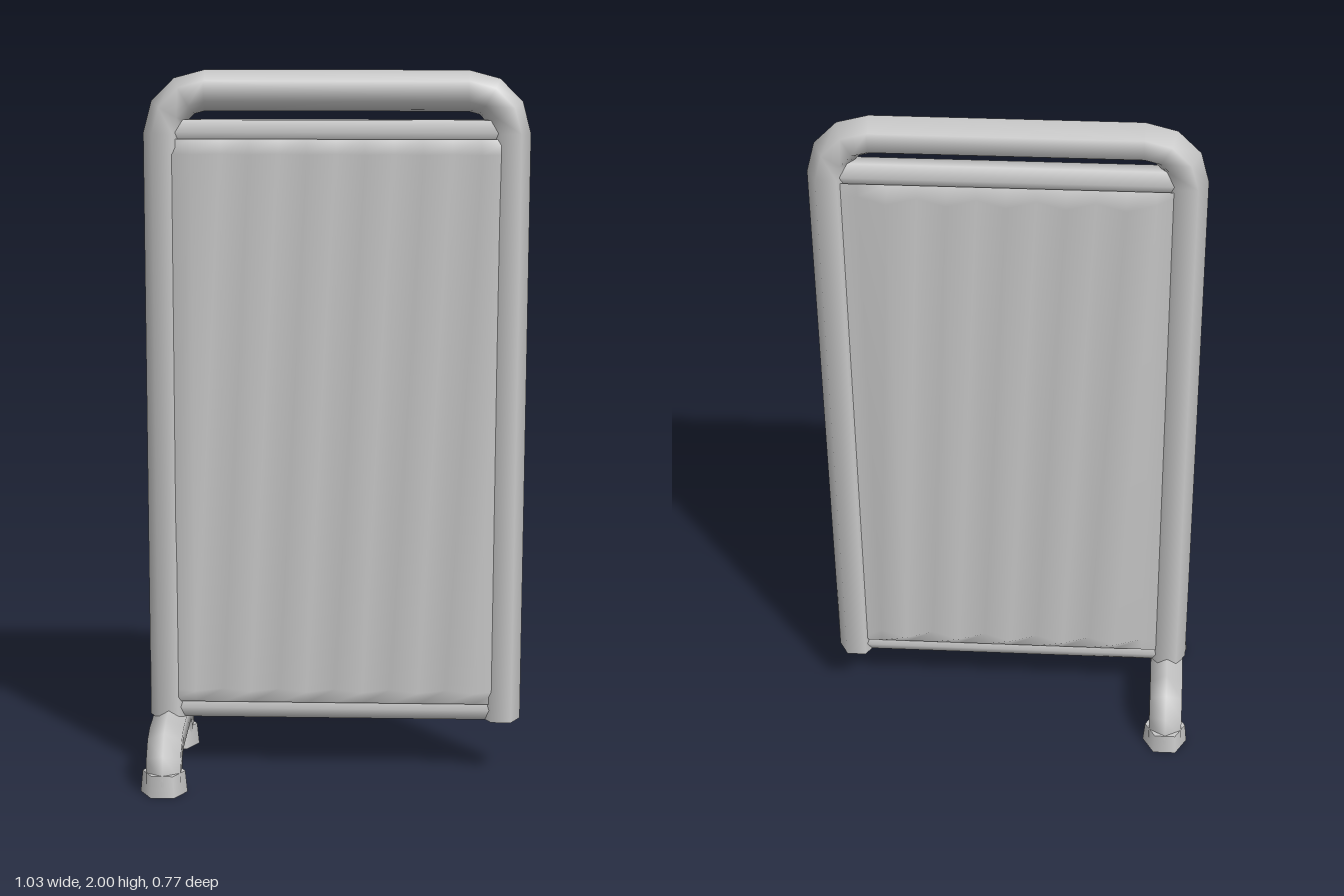
import * as THREE from 'three';

const grey = new THREE.MeshStandardMaterial({ color: 0xc8c8c8, side: THREE.DoubleSide });
grey.name = 'light grey';

const SIDES = 6;
const TUBE = 0.056; // radius of frame and foot tubing
const HALF = 0.475; // half the distance between the posts

function add(parent, name, geometry, x = 0, y = 0, z = 0) {
  const mesh = new THREE.Mesh(geometry, grey);
  mesh.name = name;
  mesh.position.set(x, y, z);
  parent.add(mesh);
  return mesh;
}

// Upside-down U of hexagonal tube in the XY plane, one corner of the hexagon facing outward
function bentTube(name, half, bottom, top, bend) {
  const group = new THREE.Group();
  group.name = name;
  const legLength = top - bend - bottom;
  const straight = (length, open) =>
    new THREE.CylinderGeometry(TUBE, TUBE, length, SIDES, 1, open, Math.PI / 2);
  for (const side of [-1, 1]) {
    add(group, name + 'Leg', straight(legLength, false), side * half, bottom + legLength / 2);
    const corner = add(group, name + 'Bend', new THREE.TorusGeometry(bend, TUBE, SIDES, 3, Math.PI / 2),
      side * (half - bend), top - bend);
    if (side < 0) corner.rotation.y = Math.PI;
  }
  const bar = add(group, name + 'Bar', straight(2 * (half - bend), true), 0, top);
  bar.rotation.z = Math.PI / 2;
  return group;
}

// One face of the fabric: shallow pleats that flatten against the rails.
// Every second column, starting at firstPeak, stands out.
function pleatedLayer(bottom, top, firstPeak) {
  const columns = 12;
  const rows = [[top, 0], [top - 0.04, 0.038], [bottom + 0.04, 0.03], [bottom, 0]];
  const geometry = new THREE.PlaneGeometry(2 * HALF, 1, columns, rows.length - 1);
  const p = geometry.attributes.position;
  for (let i = 0; i < p.count; i++) {
    const column = i % (columns + 1);
    const [y, depth] = rows[Math.floor(i / (columns + 1))];
    const isPeak = column > 0 && column < columns && (column - firstPeak) % 2 === 0;
    p.setXYZ(i, p.getX(i), y, 0.036 + (isPeak ? depth : 0));
  }
  geometry.computeVertexNormals();
  return geometry;
}

export function createModel() {
  const model = new THREE.Group();
  model.name = 'foldingScreenPanel';

  // Panel turned about the vertical axis
  const panel = new THREE.Group();
  panel.name = 'panel';
  panel.position.set(0.055, 0, 0.0925);
  panel.rotation.y = -Math.PI / 6;
  model.add(panel);

  // Outer frame
  panel.add(bentTube('frame', HALF, 0.16, 1.944, 0.115));

  // Rails holding the fabric
  for (const [name, y] of [['topRail', 1.832], ['bottomRail', 0.192]]) {
    const rail = add(panel, name, new THREE.CylinderGeometry(0.038, 0.038, 2 * HALF, SIDES), 0, y);
    rail.rotation.z = Math.PI / 2;
  }

  // Fabric looped over both rails, pleats of the two faces staggered
  add(panel, 'fabricFront', pleatedLayer(0.21, 1.814, 1));
  add(panel, 'fabricBack', pleatedLayer(0.21, 1.814, 2)).rotation.y = Math.PI;

  // Foot under one post, with end caps
  const foot = bentTube('foot', 0.205, 0.03, 0.128, 0.085);
  foot.position.x = -HALF;
  foot.rotation.y = Math.PI / 2;
  for (const side of [-1, 1]) {
    add(foot, 'footCap', new THREE.CylinderGeometry(0.06, 0.066, 0.062, SIDES), side * 0.205, 0.031);
  }
  panel.add(foot);

  return model;
}
